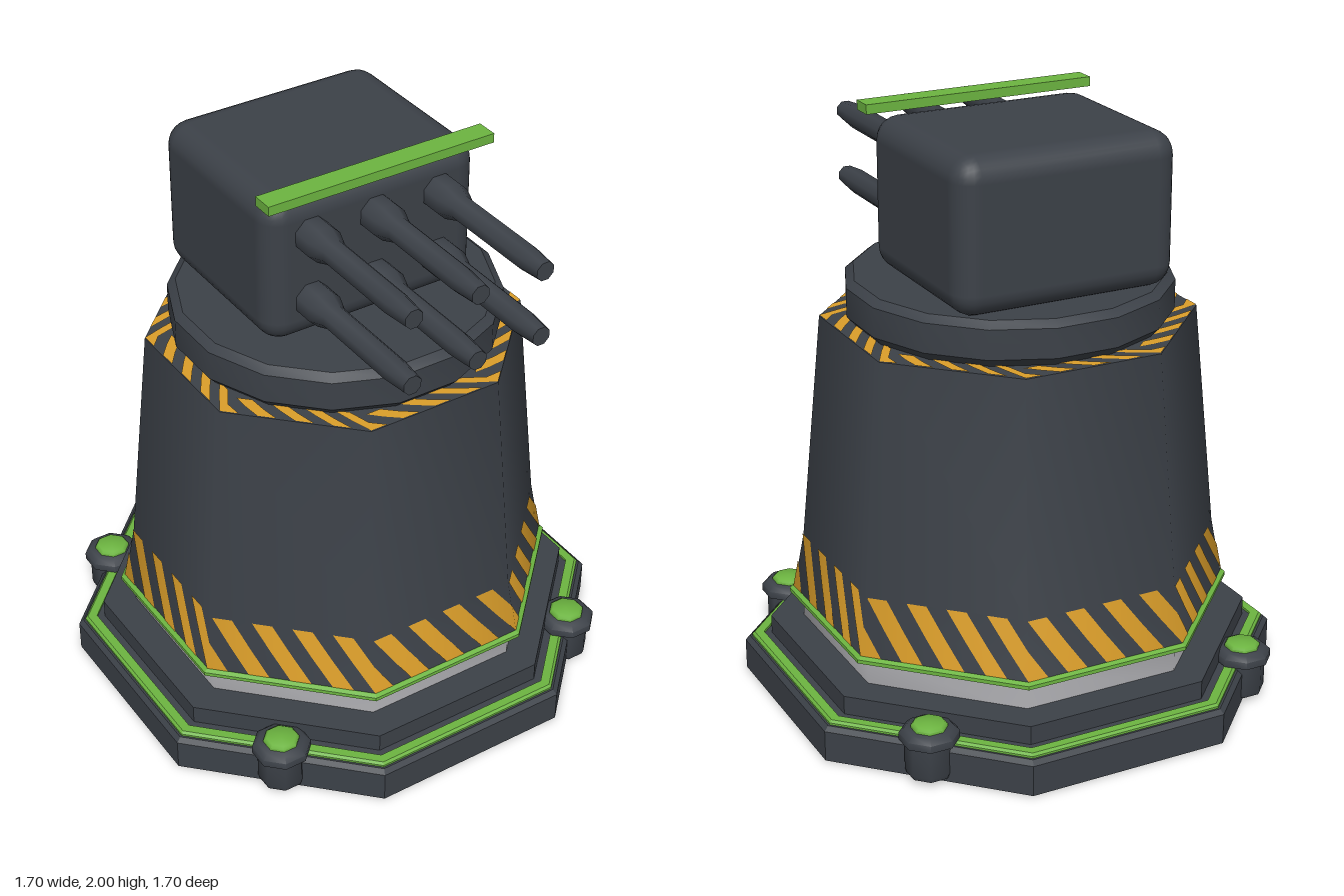
import * as THREE from 'three';
import { toCreasedNormals } from 'three/addons/utils/BufferGeometryUtils.js';
import { RoundedBoxGeometry } from 'three/addons/geometries/RoundedBoxGeometry.js';

const COS = Math.cos(Math.PI / 8);
const FLAT = 0.3, SMOOTH = 0.9;

function material(name, color) {
  const m = new THREE.MeshStandardMaterial({ color });
  m.name = name;
  return m;
}

// Turned polygonal solid from [radius, height] pairs, listed bottom to top
function turned(profile, sides, crease) {
  const pts = profile.map(([r, y]) => new THREE.Vector2(r, y));
  return toCreasedNormals(new THREE.LatheGeometry(pts, sides, Math.PI / sides), crease);
}

// Eight-sided solid; radii are measured to the middle of each flat
function octagon(profile, crease = FLAT) {
  return turned(profile.map(([a, y]) => [a / COS, y]), 8, crease);
}

// Slanted stripes on an octagonal band between two [apothem, height] edges
function hazardStripes(low, high, slope, perFace = 4) {
  const pos = [], nor = [];
  const at = (face, u, v) => {
    const a = THREE.MathUtils.lerp(high[0], low[0], v) / COS;
    const y = THREE.MathUtils.lerp(high[1], low[1], v);
    const t = THREE.MathUtils.clamp(u / perFace, 0, 1);
    const a0 = (face - 0.5) * Math.PI / 4, a1 = a0 + Math.PI / 4;
    return new THREE.Vector3(
      a * THREE.MathUtils.lerp(Math.sin(a0), Math.sin(a1), t), y,
      a * THREE.MathUtils.lerp(Math.cos(a0), Math.cos(a1), t));
  };
  for (let face = 0; face < 8; face++) {
    for (let k = -1; k < perFace; k++) {
      for (const v of [0, 0.5]) {
        const w = v + 0.5;
        const tl = at(face, k + v, v), tr = at(face, k + v + 0.5, v);
        const bl = at(face, k + w, w), br = at(face, k + w + 0.5, w);
        for (const p of [bl, br, tr, bl, tr, tl]) {
          pos.push(p.x, p.y, p.z);
          const n = new THREE.Vector3(p.x, slope, p.z).normalize();
          nor.push(n.x, n.y, n.z);
        }
      }
    }
  }
  const g = new THREE.BufferGeometry();
  g.setAttribute('position', new THREE.Float32BufferAttribute(pos, 3));
  g.setAttribute('normal', new THREE.Float32BufferAttribute(nor, 3));
  return g;
}

export function createModel() {
  const model = new THREE.Group();
  model.name = 'gunTower';
  const dark = material('darkMetal', 0x3c4148);
  const green = material('greenTrim', 0x6cb440);
  const yellow = material('hazardYellow', 0xdb9e2a);
  const grey = material('lightMetal', 0xb0b0b4);

  const add = (name, geometry, mat, parent = model) => {
    const mesh = new THREE.Mesh(geometry, mat);
    mesh.name = name;
    parent.add(mesh);
    return mesh;
  };

  // Stepped base with its green rim
  add('base', octagon([[0, 0.003], [0.85, 0.003], [0.85, 0.11], [0.835, 0.125], [0, 0.125]]), dark);
  add('baseRim', octagon([[0.79, 0.12], [0.828, 0.12], [0.828, 0.132], [0.82, 0.14], [0.79, 0.14], [0.79, 0.12]]), green);
  add('baseStep', octagon([[0.79, 0.12], [0.79, 0.132], [0.765, 0.135], [0.765, 0.2], [0, 0.2]]), dark);

  // Light panels on the underside
  for (const deg of [70, 210, 290]) {
    const g = new THREE.CircleGeometry(0.71, 2, THREE.MathUtils.degToRad(deg - 22.5), Math.PI / 4);
    add('undersidePanel', g.rotateX(Math.PI / 2), grey);
  }

  // Corner bolts
  for (const sx of [-1, 1]) for (const sz of [-1, 1]) {
    const bolt = new THREE.Group();
    bolt.name = 'cornerBolt';
    bolt.position.set(sx * 0.588, 0, sz * 0.588);
    add('boltBody', turned([[0, 0.02], [0.075, 0.02], [0.08, 0.035], [0.08, 0.135], [0.098, 0.14],
      [0.098, 0.165], [0.08, 0.182], [0, 0.182]], 8, SMOOTH), dark, bolt);
    add('boltCap', turned([[0.06, 0.18], [0.06, 0.19], [0.05, 0.198], [0, 0.198]], 8, SMOOTH), green, bolt);
    model.add(bolt);
  }

  // Waist and tower
  add('waist', octagon([[0.66, 0.19], [0.66, 0.29]], SMOOTH), grey);
  add('waistRim', octagon([[0, 0.285], [0.69, 0.285], [0.702, 0.292], [0.702, 0.305], [0.69, 0.312], [0, 0.312]], FLAT), green);
  add('tower', octagon([[0.687, 0.31], [0.652, 0.51], [0.58, 1.3], [0, 1.3]], SMOOTH), dark);

  // Hazard stripes round the foot and the top edge
  add('footStripes', hazardStripes([0.69, 0.314], [0.655, 0.51], 0.12), yellow);
  add('topStripes', hazardStripes([0.579, 1.303], [0.5, 1.303], 50), yellow);

  // Turning collar
  add('collar', turned([[0.515, 1.295], [0.548, 1.33], [0.548, 1.43], [0.52, 1.452], [0, 1.452]], 16, 0.5), dark);

  // Gun head and sight bar
  const head = add('gunHead', new RoundedBoxGeometry(0.78, 0.515, 0.665, 3, 0.08), dark);
  head.position.set(0, 1.7075, -0.0975);
  const bar = add('sightBar', new THREE.BoxGeometry(0.82, 0.032, 0.075), green);
  bar.position.set(0, 1.984, 0.238);

  // Six barrels in two rows
  const barrel = turned([[0.062, 0.2], [0.062, 0.305], [0.042, 0.36], [0.042, 0.69],
    [0.033, 0.785], [0, 0.785]], 8, SMOOTH).rotateX(Math.PI / 2);
  for (const x of [-0.235, 0, 0.235]) for (const y of [1.595, 1.828]) {
    add('barrel', barrel, dark).position.set(x, y, 0);
  }

  return model;
}
